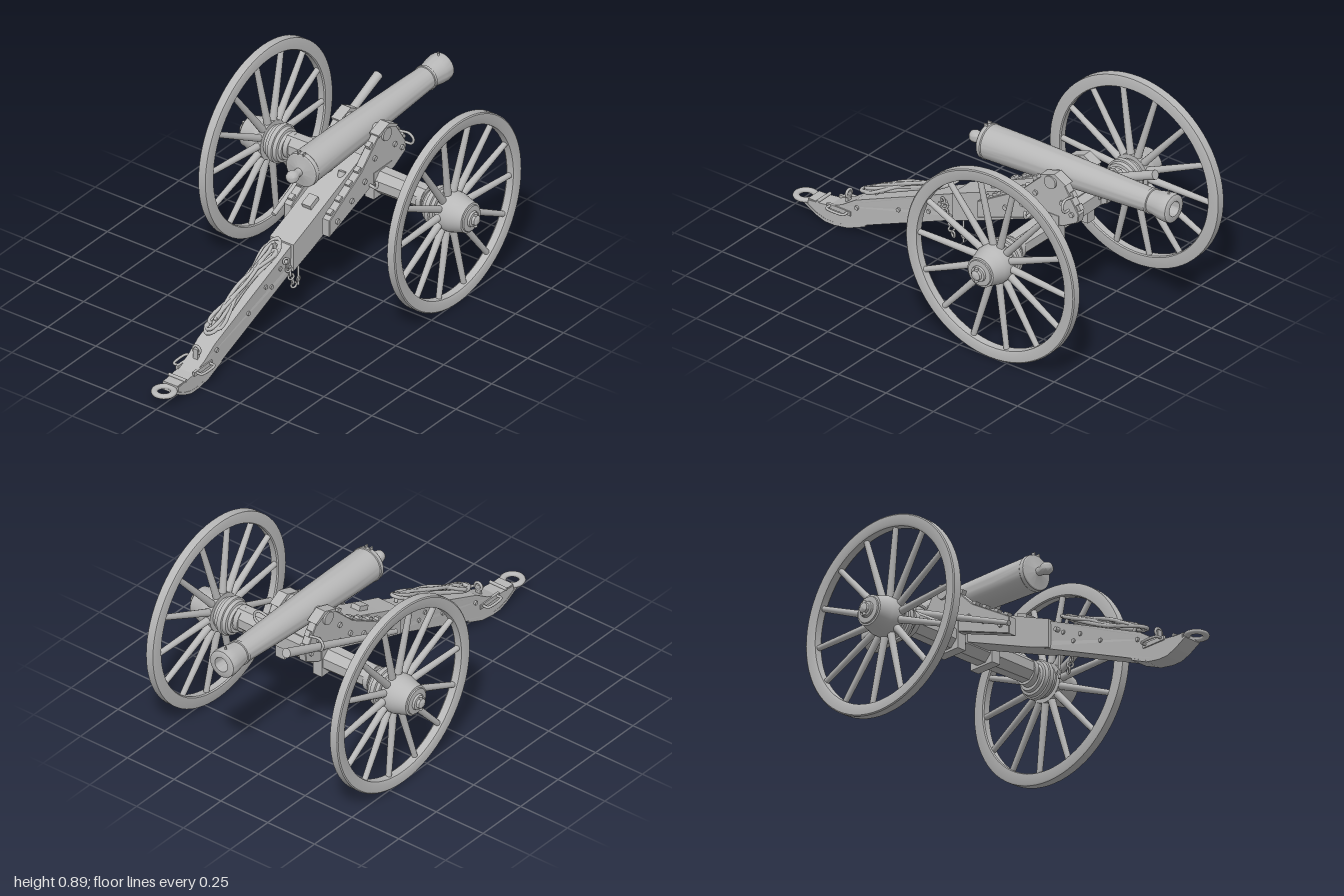
import * as THREE from 'three';
import { toCreasedNormals } from 'three/addons/utils/BufferGeometryUtils.js';

const metal = new THREE.MeshStandardMaterial({ color: 0xb8b8b8 });
metal.name = 'plain grey';
const V = (x, y, z) => new THREE.Vector3(x, y, z);

function add(parent, name, geo, x = 0, y = 0, z = 0) {
  const m = new THREE.Mesh(geo, metal);
  m.name = name;
  m.position.set(x, y, z);
  parent.add(m);
  return m;
}

function group(parent, name, x = 0, y = 0, z = 0) {
  const g = new THREE.Group();
  g.name = name;
  g.position.set(x, y, z);
  parent.add(g);
  return g;
}

// Turned profile of [along, radius] pairs
function lathe(pts, seg = 40) {
  return toCreasedNormals(new THREE.LatheGeometry(pts.map(([t, r]) => new THREE.Vector2(r, t)), seg), 0.6);
}

// Side outline of [z, y] pairs, extruded across x
function slab(pts, width, bevel = 0) {
  const shape = new THREE.Shape(pts.map(([z, y]) => new THREE.Vector2(z, y)));
  const depth = width - 2 * bevel;
  const geo = new THREE.ExtrudeGeometry(shape, {
    depth, bevelEnabled: bevel > 0, bevelSize: bevel, bevelOffset: -bevel, bevelThickness: bevel, bevelSegments: 1,
  });
  return geo.translate(0, 0, -depth / 2).rotateY(-Math.PI / 2);
}

// Round rod between two points
function rod(parent, name, a, b, r0, r1 = r0, sides = 12) {
  const dir = b.clone().sub(a);
  const m = add(parent, name, new THREE.CylinderGeometry(r1, r0, dir.length(), sides));
  m.position.copy(a).addScaledVector(dir, 0.5);
  m.quaternion.setFromUnitVectors(V(0, 1, 0), dir.normalize());
  return m;
}

function tube(parent, name, pts, r, closed = false, seg = 48) {
  const path = new THREE.CatmullRomCurve3(pts.map(p => V(...p)), closed);
  return add(parent, name, new THREE.TubeGeometry(path, seg, r, 8, closed));
}

function buildWheel(parent, name, side) {
  const w = group(parent, name, 0, 0.446, -0.42);
  w.rotation.y = side > 0 ? 0 : Math.PI;
  // Felloe ring
  const rim = lathe([[0.47, 0.392], [0.47, 0.436], [0.473, 0.443], [0.509, 0.443], [0.513, 0.438],
    [0.513, 0.4], [0.508, 0.39], [0.476, 0.388], [0.47, 0.392]], 72);
  add(w, 'wheelRim', rim.rotateZ(-Math.PI / 2));
  // Hub with its bands
  const hub = lathe([[0.365, 0], [0.365, 0.06], [0.378, 0.064], [0.38, 0.076], [0.396, 0.08], [0.398, 0.087],
    [0.418, 0.087], [0.42, 0.078], [0.436, 0.078], [0.438, 0.068], [0.452, 0.068], [0.452, 0.088], [0.5, 0.088],
    [0.516, 0.083], [0.562, 0.07], [0.576, 0.068], [0.578, 0.06], [0.584, 0.058], [0.586, 0.036], [0.596, 0.034],
    [0.598, 0.024], [0.61, 0.022], [0.616, 0.014], [0.618, 0]], 40);
  add(w, 'hub', hub.rotateZ(-Math.PI / 2));
  rod(w, 'linchpin', V(0.603, -0.033, 0), V(0.603, 0.033, 0), 0.008);
  // Fourteen dished spokes, lined up on both wheels
  for (let i = 0; i < 14; i++) {
    const a = i * Math.PI / 7 + side * 0.18, c = Math.cos(a), s = Math.sin(a);
    rod(w, 'spoke', V(0.468, 0.07 * c, 0.07 * s), V(0.488, 0.4 * c, 0.4 * s), 0.017, 0.0125);
  }
}

function buildBarrel(parent) {
  const b = group(parent, 'barrel', 0, 0.67, 0);
  b.rotation.x = 0.023;
  const tubeGeo = lathe([[-0.08, 0], [-0.077, 0.012], [-0.068, 0.023], [-0.052, 0.028], [-0.036, 0.025],
    [-0.022, 0.018], [-0.004, 0.018], [0.0, 0.03], [0.008, 0.074], [0.012, 0.078], [0.03, 0.08], [0.034, 0.077],
    [0.2, 0.075], [0.36, 0.071], [0.6, 0.063], [0.872, 0.053], [0.874, 0.057], [0.886, 0.057], [0.888, 0.052],
    [0.91, 0.055], [0.945, 0.062], [0.975, 0.065], [0.994, 0.062], [0.998, 0.056], [0.998, 0.034], [0.7, 0.034],
    [0.7, 0]], 48);
  add(b, 'gunTube', tubeGeo.rotateX(-Math.PI / 2));
  rod(b, 'trunnion', V(-0.13, 0, -0.44), V(0.13, 0, -0.44), 0.03, 0.03, 24);
  rod(b, 'frontSight', V(0, 0.055, -0.97), V(0, 0.08, -0.97), 0.006, 0.003);
  for (const x of [-0.013, 0.013]) add(b, 'rearSight', new THREE.BoxGeometry(0.006, 0.026, 0.018), x, 0.075, -0.017);
}

function buildTrail(parent) {
  const t = group(parent, 'trail');
  // Long beam, tapering towards the foot
  const beam = slab([[0.9, 0.05], [0.86, 0.025], [0.81, 0.007], [0.76, 0.006], [0.69, 0.019], [0.55, 0.08],
    [0.1, 0.268], [0, 0.31], [-0.36, 0.45], [-0.5, 0.5], [-0.5, 0.58], [-0.34, 0.58], [0, 0.435], [0.14, 0.38],
    [0.65, 0.162], [0.72, 0.115], [0.79, 0.085], [0.9, 0.072]], 0.1);
  const p = beam.attributes.position;
  for (let i = 0; i < p.count; i++) p.setX(i, p.getX(i) * (1 - 0.18 * THREE.MathUtils.clamp((p.getZ(i) - 0.1) / 0.8, 0, 1)));
  beam.computeVertexNormals();
  add(t, 'trailBeam', beam);
  add(t, 'trailSleeve', slab([[0.125, 0.262], [0, 0.305], [-0.36, 0.448], [-0.36, 0.592], [0, 0.442], [0.125, 0.393]], 0.122));
  add(t, 'footPlate', slab([[0.92, 0.05], [0.86, 0.017], [0.81, 0], [0.76, 0], [0.69, 0.012], [0.6, 0.05],
    [0.6, 0.062], [0.69, 0.026], [0.76, 0.014], [0.81, 0.014], [0.86, 0.03], [0.92, 0.062]], 0.086));
  // Towing ring at the foot
  const ring = new THREE.TorusGeometry(0.041, 0.015, 10, 32).rotateX(Math.PI / 2).scale(1, 0.7, 1);
  add(t, 'towRing', ring, 0, 0.062, 0.944);
  add(t, 'towRingShank', new THREE.BoxGeometry(0.075, 0.018, 0.075), 0, 0.07, 0.865);
  rod(t, 'shankBolt', V(-0.045, 0.083, 0.85), V(0.045, 0.083, 0.85), 0.007);
  // Lifting handles and bolts down both sides
  for (const s of [-1, 1]) {
    tube(t, 'liftingHandle', [[0.038, 0.09, 0.69], [0.07, 0.09, 0.69], [0.076, 0.09, 0.7], [0.076, 0.09, 0.77],
      [0.07, 0.09, 0.78], [0.038, 0.09, 0.78]].map(([x, y, z]) => [s * x, y, z]), 0.006);
    add(t, 'handlePlate', new THREE.BoxGeometry(0.012, 0.02, 0.125), s * 0.043, 0.088, 0.735);
    for (const [z, y] of [[0.64, 0.13], [0.42, 0.2], [0.3, 0.27], [0.26, 0.25], [0.2, 0.31]])
      rod(t, 'trailBolt', V(s * 0.035, y, z), V(s * 0.053, y, z), 0.01, 0.01, 6);
    rod(t, 'chainEye', V(s * 0.045, 0.33, 0.17), V(s * 0.068, 0.33, 0.17), 0.01);
  }
  // Lashing chain and pin on the left side
  for (let i = 0; i < 7; i++) {
    const link = add(t, 'chainLink', new THREE.TorusGeometry(0.013, 0.005, 6, 12), 0.06, 0.34 - i * 0.024, 0.175 - i * 0.009);
    link.rotation.y = Math.PI / 2 + (i % 2 ? 0.9 : -0.4);
  }
  rod(t, 'hangingPin', V(0.05, 0.17, 0.075), V(0.05, 0.3, 0.075), 0.005);
  add(t, 'hangingPinEye', new THREE.TorusGeometry(0.011, 0.004, 6, 14).rotateY(Math.PI / 2), 0.05, 0.2, 0.075);
  // Handspike socket near the foot
  add(t, 'socketPost', new THREE.BoxGeometry(0.022, 0.06, 0.014), 0, 0.13, 0.72);
  add(t, 'socketRing', new THREE.TorusGeometry(0.018, 0.006, 8, 20), 0, 0.153, 0.717);
  // Block and bolts on the bed under the breech
  add(t, 'elevatingBlock', new THREE.BoxGeometry(0.045, 0.05, 0.06), 0, 0.472, -0.08).rotation.x = 0.4;
  for (const x of [-0.032, 0.032]) rod(t, 'bedBolt', V(x, 0.52, -0.24), V(x, 0.556, -0.255), 0.016);
}

function buildRope(parent) {
  const g = group(parent, 'ropeCoil', 0, 0.288, 0.39);
  g.rotation.x = 0.41;
  // Twisted loops lying along the trail, mirrored in pairs
  for (let i = 0; i < 4; i++) {
    const pts = [], s = i % 2 ? -1 : 1, L = 0.272 - 0.018 * i;
    for (let k = 0; k < 20; k++) {
      const a = k * Math.PI / 10;
      const x = s * (0.022 * Math.sin(a + 0.5 * i) + 0.014 * Math.sin(3 * a));
      pts.push([x, 0.012 + 0.004 * i + 0.008 * Math.cos(2 * a + i), L * Math.cos(a)]);
    }
    tube(g, 'ropeLoop', pts, 0.0085, true, 80);
  }
  for (const z of [-0.24, 0.2]) rod(g, 'ropeHook', V(0, -0.01, z), V(0, 0.035, z), 0.008);
}

function buildCarriage(parent) {
  const c = group(parent, 'carriage');
  for (const s of [-1, 1]) {
    // Eight-sided axle, tapering outwards, with an end band
    const half = new THREE.CylinderGeometry(0.054, 0.062, 0.36, 8, 1, false, Math.PI / 8);
    add(c, 'axleBeam', toCreasedNormals(half, 0.5).rotateZ(-s * Math.PI / 2), s * 0.18, 0.466, -0.417);
    rod(c, 'axleBand', V(s * 0.335, 0.46, -0.417), V(s * 0.358, 0.46, -0.417), 0.058, 0.058, 24);
    rod(c, 'axleArm', V(s * 0.35, 0.452, -0.42), V(s * 0.38, 0.448, -0.42), 0.05, 0.05, 24);
    // Cheek carrying the barrel
    add(c, 'cheek', slab([[-0.05, 0.365], [-0.05, 0.445], [-0.1, 0.475], [-0.27, 0.575], [-0.37, 0.672], [-0.4, 0.7],
      [-0.46, 0.714], [-0.51, 0.69], [-0.585, 0.57], [-0.58, 0.53], [-0.5, 0.485], [-0.34, 0.47]], 0.04, 0.003), s * 0.1, 0, 0);
    add(c, 'trunnionCap', slab([[-0.385, 0.698], [-0.46, 0.724], [-0.52, 0.69], [-0.51, 0.68], [-0.46, 0.705], [-0.39, 0.685]], 0.048), s * 0.1, 0, 0);
    add(c, 'axleStrap', new THREE.BoxGeometry(0.046, 0.128, 0.128), s * 0.1, 0.464, -0.417);
    // Square nuts along the top edge
    for (const [z, y] of [[-0.08, 0.465], [-0.14, 0.5], [-0.21, 0.542], [-0.27, 0.578], [-0.35, 0.66], [-0.54, 0.645], [-0.575, 0.595]])
      add(c, 'cheekNut', new THREE.BoxGeometry(0.024, 0.022, 0.026), s * 0.1, y, z).rotation.x = z < -0.5 ? -1 : 0.45;
    // Through bolts on the outer face
    for (const [z, y] of [[-0.1, 0.42], [-0.2, 0.47], [-0.29, 0.52], [-0.36, 0.6], [-0.5, 0.6], [-0.55, 0.56]])
      rod(c, 'cheekBolt', V(s * 0.06, y, z), V(s * 0.129, y, z), 0.012, 0.012, 6);
    // Side hook
    tube(c, 'sideHook', [[0.11, 0.64, -0.545], [0.165, 0.645, -0.545], [0.184, 0.622, -0.548], [0.172, 0.596, -0.55],
      [0.14, 0.592, -0.55]].map(([x, y, z]) => [s * x, y, z]), 0.006);
  }
  tube(c, 'implementHook', [[0.11, 0.485, -0.33], [0.15, 0.48, -0.33], [0.158, 0.5, -0.33], [0.15, 0.512, -0.33]], 0.007);
  add(c, 'cheekSpacer', new THREE.BoxGeometry(0.17, 0.06, 0.05), 0, 0.545, -0.525);
  // Handspike carried on the right side
  rod(c, 'handspike', V(-0.15, 0.393, -0.02), V(-0.165, 0.7, -0.77), 0.011, 0.021, 16);
}

export function createModel() {
  const model = new THREE.Group();
  model.name = 'fieldCannon';
  buildWheel(model, 'leftWheel', 1);
  buildWheel(model, 'rightWheel', -1);
  buildBarrel(model);
  buildTrail(model);
  buildRope(model);
  buildCarriage(model);
  return model;
}
